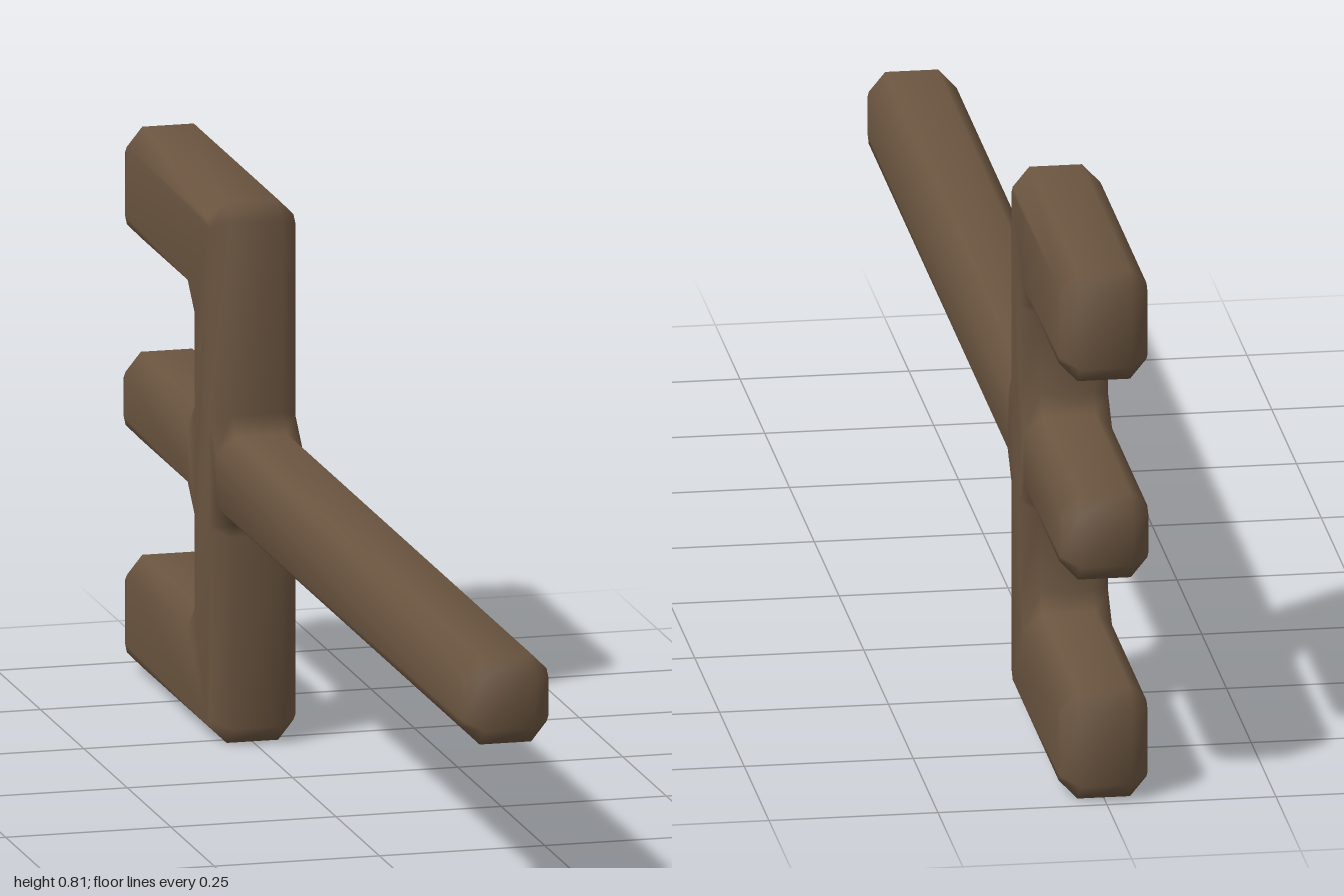
import * as THREE from 'three';
import { mergeVertices } from 'three/addons/utils/BufferGeometryUtils.js';

const CUT = 0.026; // chamfer on every edge and corner
const HALF_WIDTH = 0.065;

// Replace each corner of an outline by a short chamfer
function chamferedShape(corners, cut) {
  const points = [];
  corners.forEach((corner, i) => {
    const n = corners.length;
    for (const other of [corners[(i + n - 1) % n], corners[(i + 1) % n]]) {
      const step = other.clone().sub(corner).setLength(cut);
      points.push(corner.clone().add(step));
    }
  });
  return new THREE.Shape(points);
}

export function createModel() {
  const wood = new THREE.MeshStandardMaterial({ color: 0x6b5540 });
  wood.name = 'brown wood';

  // Upper half of the side outline: handle, crossbar, outer prong, middle prong
  const middle = 0.407;
  const upper = [
    [-1, 0.066], [0.455, 0.066], [0.455, 0.407], [0.992, 0.407],
    [0.992, 0.238], [0.592, 0.238], [0.592, 0.066], [1, 0.066],
  ];
  // Mirror it for the lower half
  const lower = upper.map(([u, v]) => [u, -v]).reverse();
  const corners = [...upper, ...lower].map(([u, v]) => new THREE.Vector2(u, v + middle));

  // Thick plate with chamfered edges
  let geometry = new THREE.ExtrudeGeometry(chamferedShape(corners, CUT), {
    depth: 2 * (HALF_WIDTH - CUT),
    bevelEnabled: true,
    bevelThickness: CUT,
    bevelSize: CUT,
    bevelOffset: -CUT,
    bevelSegments: 1,
  });
  geometry.translate(0, 0, CUT - HALF_WIDTH);
  geometry.rotateY(Math.PI / 2);

  // Share vertices so the shading runs softly over the edges
  geometry.deleteAttribute('normal');
  geometry.deleteAttribute('uv');
  geometry = mergeVertices(geometry, 1e-4);
  geometry.computeVertexNormals();
  geometry.computeBoundingBox();
  const box = geometry.boundingBox;
  geometry.translate(-(box.min.x + box.max.x) / 2, -box.min.y, -(box.min.z + box.max.z) / 2);

  const fork = new THREE.Mesh(geometry, wood);
  fork.name = 'forkWithHandle';
  const model = new THREE.Group();
  model.name = 'threeProngedFork';
  model.add(fork);
  return model;
}
